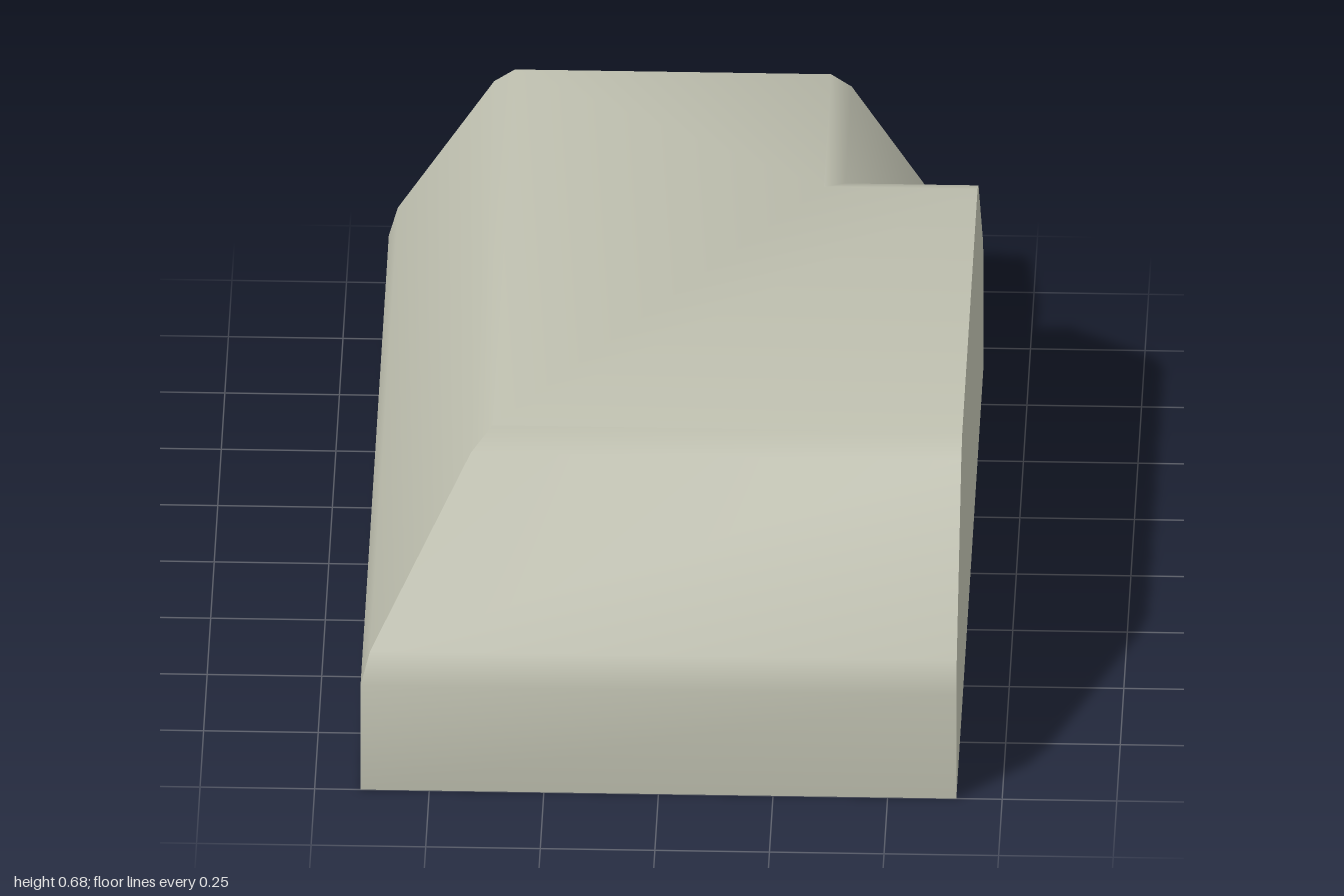
import * as THREE from 'three';
import { toCreasedNormals } from 'three/addons/utils/BufferGeometryUtils.js';

// Eave profile: height, inset across x, inset across z
const LEVELS = [
  [0, 0, 0],
  [0.26, 0, 0],
  [0.33, 0.02, 0.03],
  [0.65, 0.23, 0.35],
  [0.68, 0.275, 0.42],
];

// L-shaped outline at one level, counterclockwise from above
function outline([y, dx, dz]) {
  return [
    [-0.65 + dx, y, -1],          // back gable, left
    [-0.65 + dx, y, 1 - dz],      // hip corner
    [0.65, y, 1 - dz],            // side gable, front
    [0.65, y, -0.92 + dz],        // side gable, back
    [0.59 - dx, y, -0.92 + dz],   // valley corner
    [0.59 - dx, y, -1],           // back gable, right
  ];
}

function shellGeometry() {
  const rings = LEVELS.map(outline);
  const n = rings[0].length;
  const index = [];
  const quad = (a, b, c, d) => index.push(a, b, c, a, c, d);

  // Walls, slopes and gables
  for (let k = 0; k < rings.length - 1; k++) {
    for (let i = 0; i < n; i++) {
      const j = (i + 1) % n;
      if (k === 0 || rings[k][i] !== rings[k][j]) {
        quad(k * n + i, k * n + j, (k + 1) * n + j, (k + 1) * n + i);
      }
    }
  }

  // Flat top in two wings; the underside stays open
  const t = (rings.length - 1) * n;
  quad(t, t + 1, t + 4, t + 5);
  quad(t + 1, t + 2, t + 3, t + 4);

  const geometry = new THREE.BufferGeometry();
  geometry.setAttribute('position', new THREE.Float32BufferAttribute(rings.flat(2), 3));
  geometry.setIndex(index);
  // Soft along the rounded profile, sharp at hip, valley and gables
  return toCreasedNormals(geometry, 0.62);
}

export function createModel() {
  const stone = new THREE.MeshStandardMaterial({ color: 0xbcbdad, side: THREE.DoubleSide });
  stone.name = 'paleStone';

  const shell = new THREE.Mesh(shellGeometry(), stone);
  shell.name = 'hippedCornerShell';

  const model = new THREE.Group();
  model.name = 'cornerBlock';
  model.add(shell);
  return model;
}
